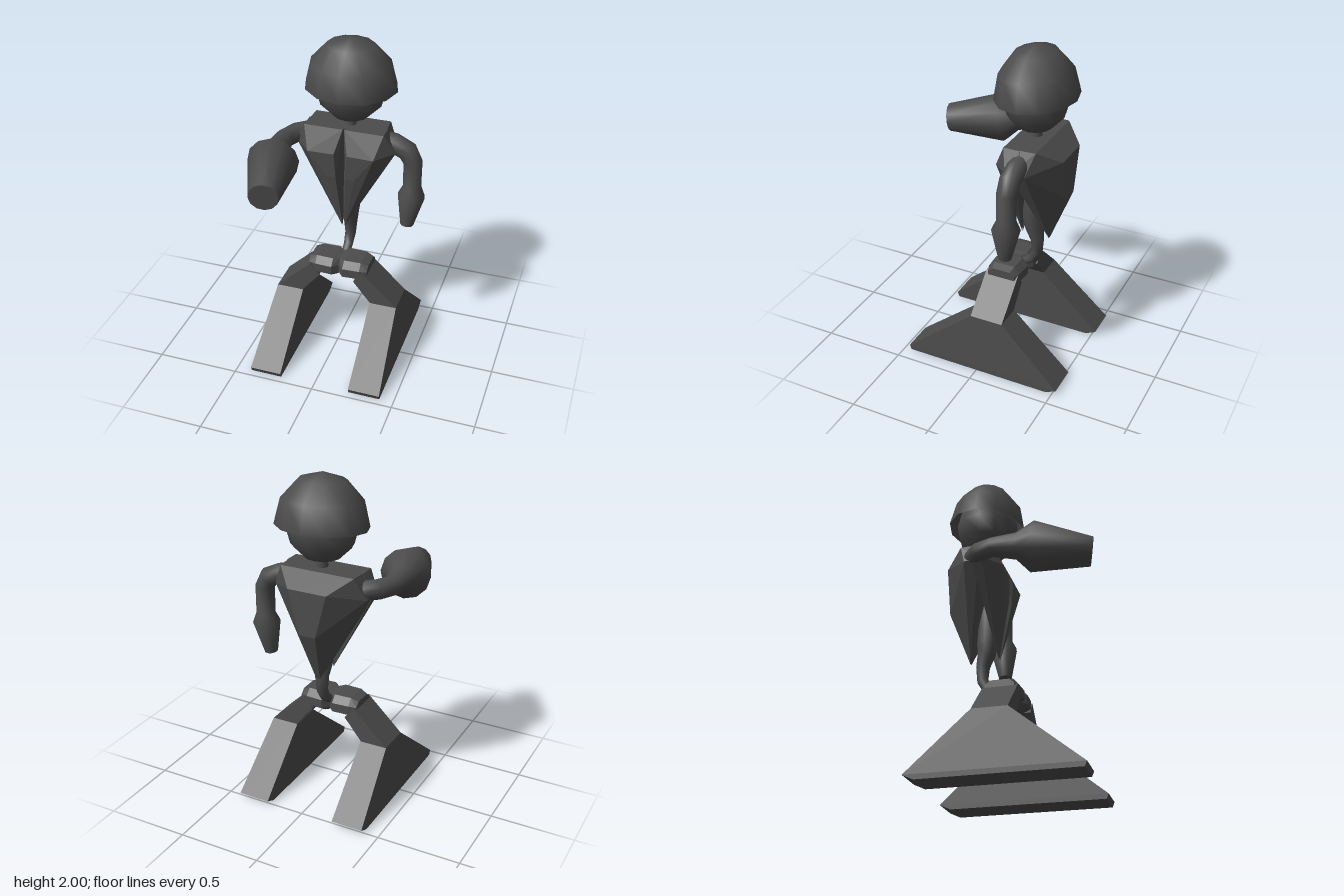
import * as THREE from 'three';
import { toCreasedNormals } from 'three/addons/utils/BufferGeometryUtils.js';
import { ConvexGeometry } from 'three/addons/geometries/ConvexGeometry.js';

const V = (x, y, z) => new THREE.Vector3(x, y, z);
const charcoal = 0x4c4c4c;
const smooth = new THREE.MeshStandardMaterial({ color: charcoal });
const faceted = new THREE.MeshStandardMaterial({ color: charcoal, flatShading: true });
const shell = new THREE.MeshStandardMaterial({ color: charcoal, side: THREE.DoubleSide });

// Capped tube of varying radius through stations [x, y, z, r]
function limb(stations, sides = 12) {
  const centres = stations.map(([x, y, z]) => V(x, y, z));
  const last = centres.length - 1;
  const pos = [], index = [];
  const u = V(0, 0, 0);
  centres.forEach((c, i) => {
    const t = centres[Math.min(i + 1, last)].clone().sub(centres[Math.max(i - 1, 0)]).normalize();
    if (i === 0) u.set(Math.abs(t.x) > 0.7 ? 0 : 1, Math.abs(t.x) > 0.7 ? 1 : 0, 0);
    u.addScaledVector(t, -u.dot(t)).normalize();
    const v = t.clone().cross(u);
    for (let j = 0; j < sides; j++) {
      const a = (j / sides) * Math.PI * 2;
      const p = c.clone().addScaledVector(u, Math.cos(a) * stations[i][3]).addScaledVector(v, Math.sin(a) * stations[i][3]);
      pos.push(p.x, p.y, p.z);
    }
  });
  const start = pos.length / 3, end = start + 1;
  pos.push(...centres[0].toArray(), ...centres[last].toArray());
  for (let j = 0; j < sides; j++) {
    const k = (j + 1) % sides;
    for (let i = 0; i < last; i++) {
      const a = i * sides + j, b = i * sides + k, c = a + sides, d = b + sides;
      index.push(a, b, c, b, d, c);
    }
    index.push(start, k, j, end, last * sides + j, last * sides + k);
  }
  const geo = new THREE.BufferGeometry();
  geo.setAttribute('position', new THREE.Float32BufferAttribute(pos, 3));
  geo.setIndex(index);
  return toCreasedNormals(geo, 1.1);
}

// Faceted solid around corner points, mirrored in x when side is -1
const hull = (points, side = 1) => new ConvexGeometry(points.map(([x, y, z]) => V(x * side, y, z)));

// Corner points given for +x, repeated on -x
const bothSides = (points) => points.flatMap(([x, y, z]) => [[x, y, z], [-x, y, z]]);

export function createModel() {
  const model = new THREE.Group();
  const add = (name, geometry, material) => {
    const mesh = new THREE.Mesh(geometry, material);
    mesh.name = name;
    model.add(mesh);
    return mesh;
  };

  // Head and the tilted half-dome helmet over it
  const head = add('head', new THREE.SphereGeometry(1, 12, 6), smooth);
  head.scale.set(0.21, 0.207, 0.19);
  head.position.set(0.014, 1.7, -0.195);
  const helmet = add('helmet', new THREE.SphereGeometry(1, 12, 3, 0, Math.PI * 2, 0, Math.PI / 2), shell);
  helmet.scale.set(0.275, 0.3, 0.235);
  helmet.position.set(0.015, 1.7, -0.198);
  helmet.rotation.x = 0.05;

  // Neck and spine in one curved, tapering piece
  add('spine', limb([
    [0.014, 1.53, -0.2, 0.03], [0.014, 1.42, -0.195, 0.038], [0.014, 1.1, -0.185, 0.065],
    [0.014, 0.93, -0.187, 0.067], [0.013, 0.86, -0.192, 0.057], [0.013, 0.78, -0.213, 0.043],
    [0.012, 0.69, -0.213, 0.034], [0.01, 0.63, -0.18, 0.029], [0.01, 0.59, -0.12, 0.026],
  ], 8), smooth);

  // Back of the torso: a wedge running down to a point
  add('backPlate', hull(bothSides([
    [0.24, 1.462, -0.12], [0.23, 1.462, -0.29], [0.3, 1.34, -0.16], [0.29, 1.33, -0.25],
    [0.12, 1.38, -0.405], [0.05, 1.115, -0.405], [0.012, 0.8, -0.285],
  ])), faceted);

  for (const side of [1, -1]) {
    const label = side > 0 ? 'left' : 'right';

    // Chest plate, with a cleft between the pair
    add(label + 'ChestPlate', hull([
      [0.005, 1.462, -0.1], [0.24, 1.462, -0.1], [0.005, 1.462, -0.2], [0.24, 1.462, -0.2],
      [0.04, 1.325, -0.04], [0.2, 1.325, -0.035], [0.305, 1.34, -0.14], [0.3, 1.33, -0.2],
      [0.03, 1.17, -0.045], [0.085, 1.17, -0.045], [0.006, 0.8, -0.11],
    ], side), faceted);

    // Hip block with a narrow notch in the middle and a tapered outer end
    const hip = [];
    for (const [x, sy, sz] of [[0, 0.9, 0.65], [0.035, 1, 1], [0.14, 1, 0.95], [0.185, 0.7, 0.8]]) {
      for (const [y, z] of [[0.06, 0.07], [0.02, 0.108], [-0.035, 0.108], [-0.065, 0.06]]) {
        hip.push([x, 0.57 + y * sy, -0.06 + z * sz], [x, 0.57 + y * sy, -0.06 - z * sz]);
      }
    }
    add(label + 'Hip', hull(hip, side), faceted).position.x = 0.008;

    // Thigh slanting outwards to the knee
    const thigh = [];
    for (const z of [0.045, -0.16]) {
      thigh.push([0.165, 0.585, z], [0.11, 0.51, z], [0.385, 0.375, z], [0.22, 0.375, z]);
    }
    add(label + 'Thigh', hull(thigh, side), faceted).position.x = 0.003;

    // Lower leg flaring into a long foot
    const foot = [];
    for (const [y, z, outer] of [
      [0.375, 0.045, 0.385], [0.375, -0.16, 0.385], [0.03, 0.467, 0.41],
      [0, 0.455, 0.41], [0.03, -0.525, 0.41], [0, -0.46, 0.41],
    ]) {
      foot.push([0.217, y, z], [outer, y, z]);
    }
    add(label + 'LowerLeg', hull(foot, side), faceted).position.x = 0.003;
  }

  // Left arm hanging down, with a flared cuff
  add('leftArm', limb([
    [0.2, 1.39, -0.2, 0.055], [0.28, 1.374, -0.2, 0.059], [0.362, 1.335, -0.198, 0.06],
    [0.396, 1.27, -0.195, 0.057], [0.396, 1.105, -0.195, 0.056],
    [0.395, 1.045, -0.192, 0.082], [0.378, 0.85, -0.178, 0.04],
  ]), smooth);

  // Right arm reaching forward, ending in a thick barrel
  add('rightArm', limb([
    [-0.18, 1.37, -0.215, 0.055], [-0.245, 1.37, -0.205, 0.058], [-0.31, 1.368, -0.155, 0.057],
    [-0.352, 1.365, -0.06, 0.057], [-0.342, 1.358, 0.08, 0.078],
    [-0.328, 1.35, 0.172, 0.149], [-0.257, 1.308, 0.505, 0.086],
  ]), smooth);

  return model;
}
